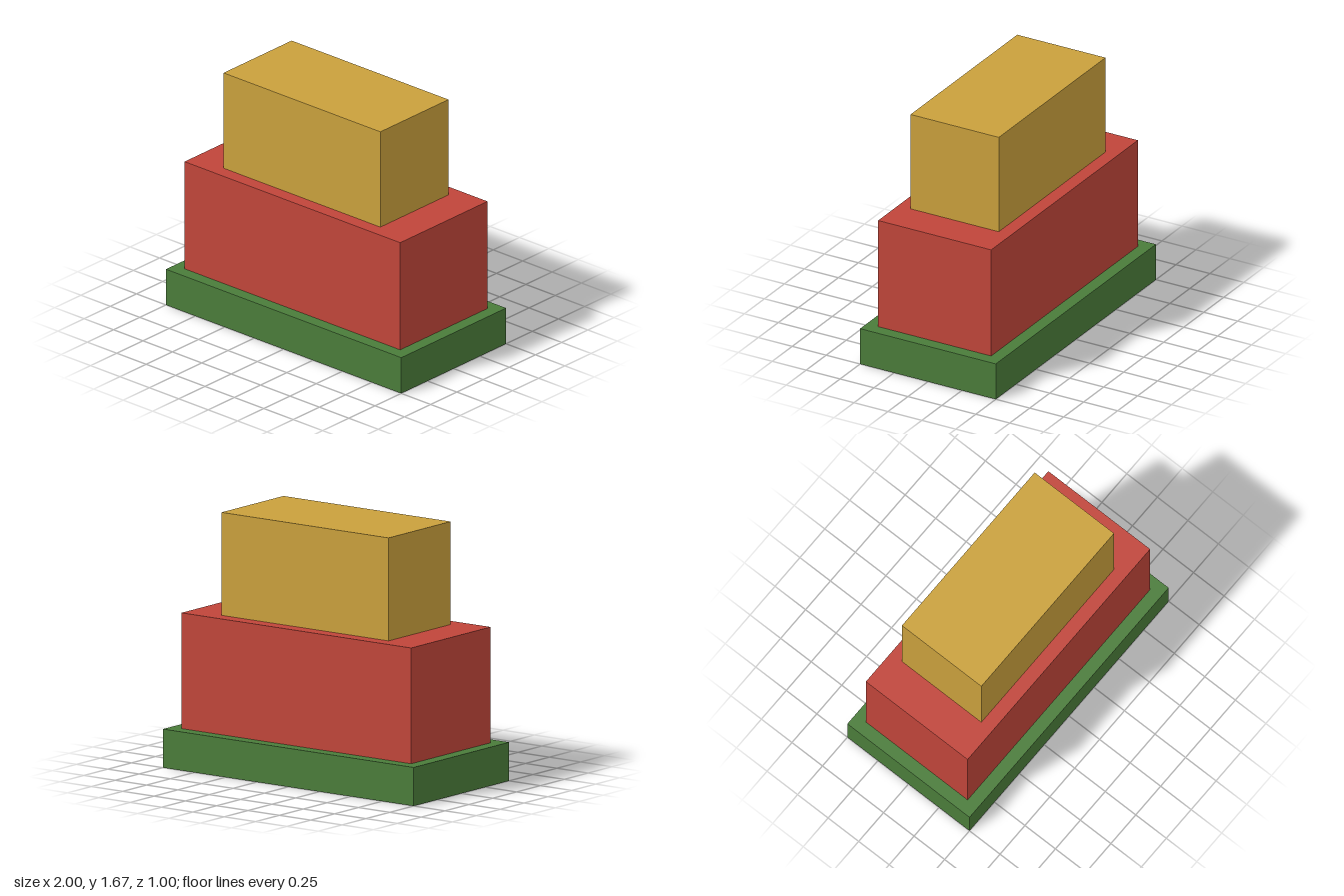
import * as THREE from 'three';

const material = (name, color) => {
  const m = new THREE.MeshStandardMaterial({ color });
  m.name = name;
  return m;
};

export function createModel() {
  const group = new THREE.Group();
  group.name = 'steppedBlocks';

  // Tiers from the ground up: name, width, height, depth, material
  const tiers = [
    ['baseSlab', 2, 0.25, 1, material('green', 0x4a7c3a)],
    ['middleBlock', 1.833, 0.75, 0.833, material('red', 0xc0453a)],
    ['topBlock', 1.333, 0.667, 0.65, material('gold', 0xc9a03c)],
  ];

  // Stack each tier on the one below
  let y = 0;
  for (const [name, w, h, d, mat] of tiers) {
    const mesh = new THREE.Mesh(new THREE.BoxGeometry(w, h, d), mat);
    mesh.name = name;
    mesh.position.y = y + h / 2;
    group.add(mesh);
    y += h;
  }
  return group;
}
